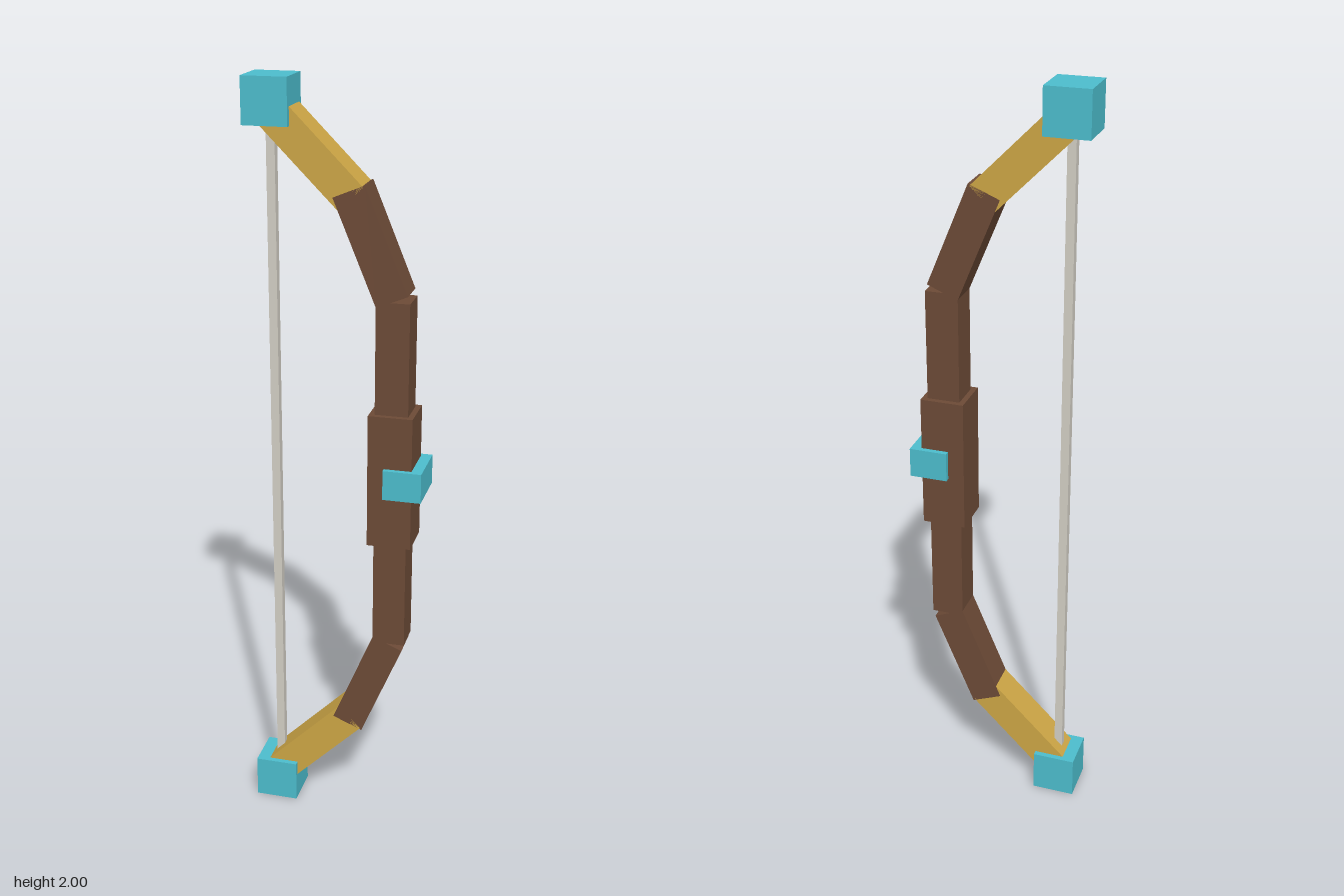
import * as THREE from 'three';

export function createModel() {
  const bow = new THREE.Group();
  bow.name = 'bow';

  const material = (name, color) => {
    const m = new THREE.MeshStandardMaterial({ color });
    m.name = name;
    return m;
  };
  const wood = material('brown wood', 0x6c4a36);
  const gold = material('gold', 0xcca545);
  const gem = material('turquoise', 0x4cbccc);
  const cord = material('pale cord', 0xd2cec4);

  const addBox = (name, mat, [w, h, d], [x, y], tilt = 0) => {
    const mesh = new THREE.Mesh(new THREE.BoxGeometry(w, h, d), mat);
    mesh.name = name;
    mesh.position.set(x, y, 0);
    mesh.rotation.z = tilt;
    bow.add(mesh);
  };

  const midY = 1.0025; // height of the grip centre
  const limb = 0.086; // limb thickness

  // Grip and the band across it
  addBox('grip', wood, [0.115, 0.357, 0.115], [0.1425, midY]);
  addBox('gripBand', gem, [0.1, 0.079, 0.143], [0.178, midY]);

  // Limbs, mirrored above and below the grip
  for (const [side, s] of [['upper', 1], ['lower', -1]]) {
    addBox(side + 'InnerLimb', wood, [limb, 0.3, limb], [0.1425, midY + s * 0.32]);
    addBox(side + 'MiddleLimb', wood, [limb, 0.286, limb], [0.085, midY + s * 0.6035], s * Math.PI / 8);
    addBox(side + 'OuterLimb', gold, [limb, 0.286, limb], [-0.065, midY + s * 0.8175], s * Math.PI / 4);
    addBox(side + 'Tip', gem, [0.115, 0.115, 0.115], [-0.1725, 1 + s * 0.9425]);
  }

  // String between the tips
  addBox('string', cord, [0.022, 1.8, 0.022], [-0.1725, 1]);

  return bow;
}
